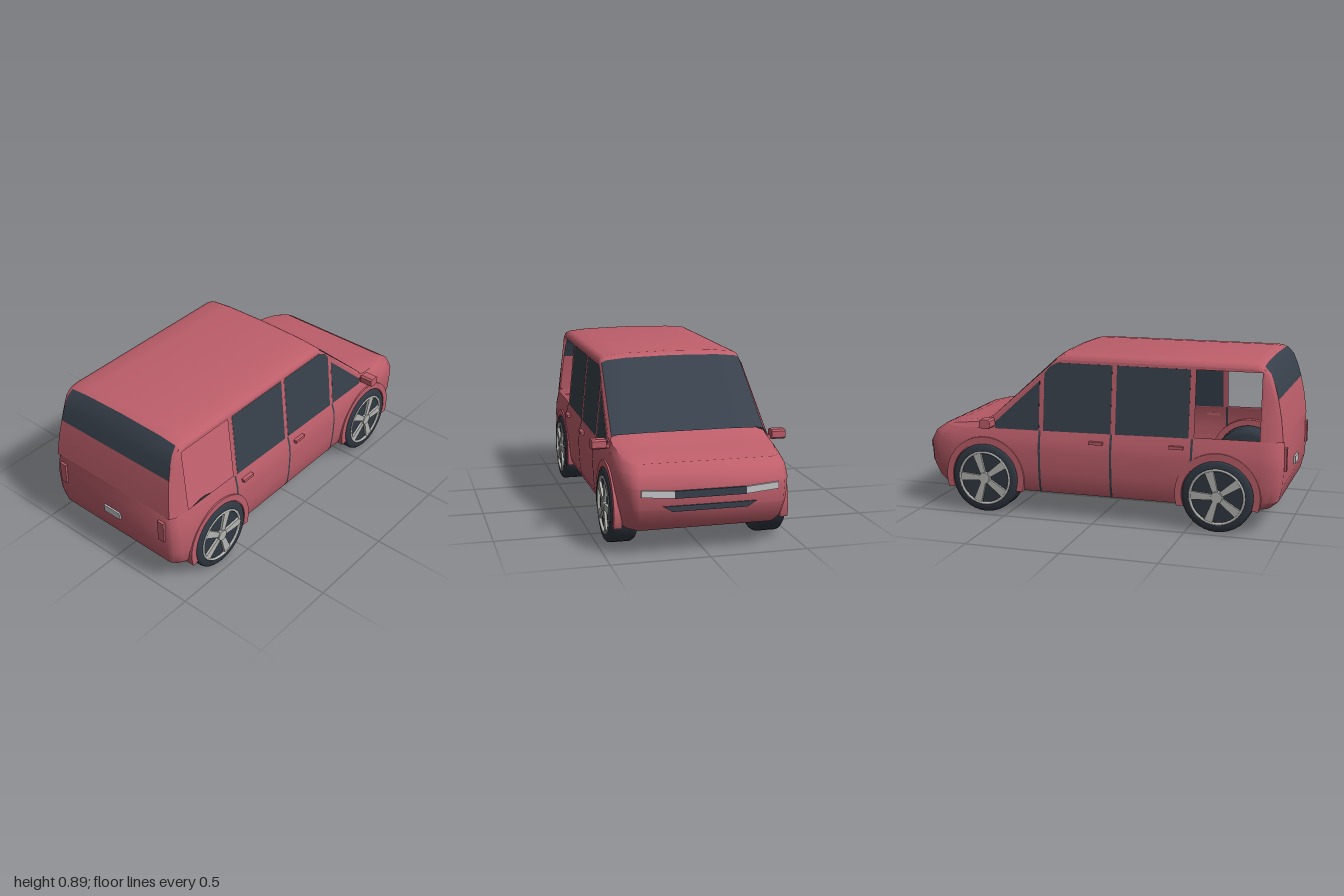
import * as THREE from 'three';
import { toCreasedNormals } from 'three/addons/utils/BufferGeometryUtils.js';

const mat = (name, color) => new THREE.MeshStandardMaterial({ name, color, side: THREE.DoubleSide });
const paint = mat('red paint', 0xbe5f6b);
const glass = mat('dark glass', 0x38414c);
const rubber = mat('tyre rubber', 0x303842);
const alloy = mat('alloy grey', 0xb4b4b2);
const lamp = mat('lamp white', 0xc6c8ca);

const lerp = THREE.MathUtils.lerp;
const beltY = x => 0.49 - 0.016 * (x + 1);
const cabinZ = y => 0.425 - 0.105 * (y - 0.47);

function add(parent, name, geometry, material) {
  const mesh = new THREE.Mesh(geometry, material);
  mesh.name = name;
  parent.add(mesh);
  return mesh;
}

// Skin through rows of [x, y, z] points
function loft(rows, crease = 0.6) {
  const n = rows[0].length, index = [];
  for (let i = 0; i < rows.length - 1; i++)
    for (let j = 0; j < n - 1; j++) {
      const a = i * n + j, b = a + n;
      index.push(a, b, a + 1, b, b + 1, a + 1);
    }
  const g = new THREE.BufferGeometry();
  g.setAttribute('position', new THREE.Float32BufferAttribute(rows.flat(2), 3));
  g.setIndex(index);
  return toCreasedNormals(g, crease);
}

// Half row (edge to centre line) completed by its mirror image
const mirrorRow = half => [...half, ...half.slice(0, -1).reverse().map(([x, y, z]) => [x, y, -z])];

const polygon = pts => new THREE.Shape(pts.map(p => new THREE.Vector2(...p)));

// Flat outline in x, y leaned onto the sloping cabin side
function sidePanel(pts, holes = [], offset = 0) {
  const shape = polygon(pts);
  shape.holes = holes.map(h => new THREE.Path(h.map(p => new THREE.Vector2(...p))));
  const g = new THREE.ShapeGeometry(shape);
  const p = g.attributes.position;
  for (let i = 0; i < p.count; i++) p.setZ(i, cabinZ(p.getY(i)) + offset);
  g.computeVertexNormals();
  return g;
}

// Height levels of the lower body: y, rear x, front x, half width
const levels = [
  [0.13, -0.92, 0.91, 0.415], [0.17, -0.965, 0.945, 0.432], [0.25, -0.985, 0.98, 0.441],
  [0.36, -0.99, 0.985, 0.445], [0.42, -0.988, 0.955, 0.44], [null, -0.985, 0.90, 0.425],
];

function planRing([y, xr, xf, w], spread = 1) {
  const half = [
    [xr, 0], [xr, 0.86], [xr + 0.012, 0.92], [xr + 0.045, 0.975], [xr + 0.11, 1], [-0.4, 1], [0, 1], [0.4, 1],
    [0.66, 1], [xf - 0.16, 0.985], [xf - 0.07, 0.94], [xf - 0.02, 0.87], [xf, 0.8], [xf, 0],
  ].map(([x, f]) => [x, y ?? beltY(x), f * w * spread]);
  return mirrorRow(half);
}

// Roof cross-section, from side edge to centre line
const roofHalf = (x, drop) => [
  [x, 0.85 - drop, cabinZ(0.85 - drop)], [x, 0.868 - drop, 0.378], [x, 0.878 - drop, 0.355],
  [x, 0.888 - drop, 0.25], [x, 0.893 - drop, 0],
];

function addBody(car) {
  add(car, 'lowerBody', loft([planRing(levels[0], 0), ...levels.map(l => planRing(l))]), paint);

  // Bonnet: x, crown height, half width
  const bonnet = [[0.56, 0.54, 0.425], [0.59, 0.535, 0.425], [0.64, 0.512, 0.425], [0.74, 0.495, 0.419],
    [0.83, 0.478, 0.4], [0.88, 0.463, 0.37], [0.9, 0.457, 0.34]];
  add(car, 'bonnet', loft(bonnet.map(([x, y, w]) => mirrorRow([
    [x, beltY(x), w], [x, lerp(beltY(x), y, 0.7), w * 0.96], [x, lerp(beltY(x), y, 0.93), w * 0.85],
    [x, y, w * 0.55], [x, y, 0]]))), paint);

  const roofRows = [[-0.875, 0.014], [-0.85, 0.004], [-0.82, 0], [0.19, 0], [0.215, 0.006], [0.235, 0.018]];
  add(car, 'roof', loft(roofRows.map(r => mirrorRow(roofHalf(...r))), 0.8), paint);

  // Windscreen between roof edge and bonnet, with painted pillars
  const top = roofHalf(0.235, 0.018);
  const base = [[0.6, 0.5, 0.42], [0.592, 0.53, 0.403], [0.59, 0.537, 0.37], [0.59, 0.539, 0.25], [0.59, 0.54, 0]];
  add(car, 'windscreen', loft([top, base].map(r => mirrorRow(r.slice(1)))), glass);

  // Tailgate below, rear window above
  const rearHalf = (y, xr) => {
    const z = cabinZ(y);
    return [[-0.88, y, z], [lerp(-0.88, xr, 0.7), y, z - 0.008], [xr, y, z - 0.025], [xr, y, 0.25], [xr, y, 0]];
  };
  const lower = [rearHalf(0.487, -0.985), rearHalf(0.6, -0.972), rearHalf(0.7, -0.952)];
  const upper = [lower[2], rearHalf(0.77, -0.932), rearHalf(0.83, -0.908), roofHalf(-0.875, 0.014)];
  add(car, 'tailgate', loft(lower.map(mirrorRow)), paint);
  add(car, 'rearWindow', loft(upper.map(r => mirrorRow(r.slice(2)))), glass);

  return { pillar: [top, base].map(r => r.slice(0, 2)), corner: upper.map(r => r.slice(0, 3)) };
}

function makeWheel() {
  const wheel = new THREE.Group();
  // Tyre with closed dark dish, axis turned to z
  const profile = [[0, -0.07], [0.16, -0.07], [0.18, -0.062], [0.19, -0.045], [0.19, 0.055], [0.1875, 0.066],
    [0.178, 0.074], [0.15, 0.075], [0.142, 0.064], [0, 0.064]].map(p => new THREE.Vector2(...p));
  const tyre = new THREE.LatheGeometry(profile, 36).rotateX(Math.PI / 2);
  add(wheel, 'tyre', toCreasedNormals(tyre, 0.7), rubber);
  add(wheel, 'rimRing', new THREE.TorusGeometry(0.143, 0.008, 6, 36), alloy).position.z = 0.072;
  const spoke = new THREE.ExtrudeGeometry(
    polygon([[0.015, -0.013], [0.14, -0.023], [0.14, 0.023], [0.015, 0.013]]), { depth: 0.014, bevelEnabled: false });
  for (let i = 0; i < 5; i++) {
    const s = add(wheel, 'spoke', spoke, alloy);
    s.rotation.z = i * Math.PI * 0.4;
    s.position.z = 0.063;
  }
  add(wheel, 'hub', new THREE.CylinderGeometry(0.03, 0.034, 0.02, 16).rotateX(Math.PI / 2), alloy).position.z = 0.072;
  return wheel;
}

function makeSide({ pillar, corner }) {
  const side = new THREE.Group();
  add(side, 'windscreenPillar', loft(pillar), paint);
  add(side, 'rearCorner', loft(corner), paint);

  // Cabin side with an open rear quarter and three glazed windows
  const opening = [[-0.87, 0.492], [-0.87, 0.835], [-0.53, 0.835], [-0.53, 0.488]];
  const windows = [
    [[-0.5, 0.482], [-0.5, 0.835], [-0.105, 0.835], [-0.105, 0.475]],
    [[-0.08, 0.475], [-0.08, 0.835], [0.225, 0.835], [0.265, 0.815], [0.297, 0.775], [0.297, 0.469]],
    [[0.322, 0.469], [0.322, 0.735], [0.575, 0.5], [0.575, 0.466]],
  ];
  const outline = [[-0.88, 0.485], [-0.88, 0.836], [-0.85, 0.846], [-0.82, 0.85], [0.19, 0.85], [0.215, 0.844],
    [0.235, 0.832], [0.6, 0.5], [0.6, 0.462]];
  add(side, 'cabinSide', sidePanel(outline, [opening, ...windows]), paint);
  windows.forEach(w => add(side, 'sideWindow', sidePanel(w, [], 0.001), glass));

  // Door seams follow the body contour on both faces of the panel
  for (const [x, bottom] of [[-0.52, 3], [-0.085, 0], [0.315, 0]])
    for (const gap of [0.003, -0.003])
      add(side, 'doorSeam', loft(levels.slice(bottom).map(([y, , , w]) =>
        [[x - 0.006, y ?? beltY(x), w + gap], [x + 0.006, y ?? beltY(x), w + gap]])), glass);

  for (const x of [-0.44, -0.005])
    add(side, 'doorHandle', new THREE.BoxGeometry(0.075, 0.016, 0.022), paint).position.set(x, beltY(x) - 0.048, 0.445);

  // Wheels and arch flares
  const arch = new THREE.Shape();
  arch.absarc(0, 0, 0.225, -0.3, Math.PI + 0.3, false);
  arch.absarc(0, 0, 0.19, Math.PI + 0.34, -0.34, true);
  const flare = new THREE.ExtrudeGeometry(arch, { depth: 0.04, bevelEnabled: false, curveSegments: 24 });
  for (const x of [-0.66, 0.63]) {
    add(side, 'archFlare', flare, paint).position.set(x, 0.193, 0.409);
    const wheel = makeWheel();
    wheel.name = x < 0 ? 'rearWheel' : 'frontWheel';
    wheel.position.set(x, 0.19, 0.381);
    side.add(wheel);
  }

  // Mirror on a short arm
  const housing = new THREE.ExtrudeGeometry(polygon([[-0.028, -0.015], [-0.02, -0.022], [0.02, -0.022],
    [0.028, -0.015], [0.028, 0.015], [0.02, 0.022], [-0.02, 0.022], [-0.028, 0.015]]),
  { depth: 0.066, bevelSize: 0.003, bevelThickness: 0.005, bevelSegments: 2 });
  add(side, 'mirrorHousing', housing, paint).position.set(0.6, 0.502, 0.441);
  add(side, 'mirrorArm', new THREE.BoxGeometry(0.03, 0.02, 0.06), paint).position.set(0.595, 0.488, 0.422);

  // Lamps
  add(side, 'headlight', endPlate([[0.18, 0.305], [0.345, 0.32], [0.345, 0.354], [0.18, 0.34]]), lamp).position.x = 0.983;
  add(side, 'rearLight', new THREE.BoxGeometry(0.02, 0.12, 0.04), paint).position.set(-0.99, 0.39, 0.35);
  return side;
}

// Plate facing along x from an outline in z, y
const endPlate = pts => new THREE.ExtrudeGeometry(polygon(pts.map(([z, y]) => [-z, y])),
  { depth: 0.012, bevelEnabled: false }).rotateY(Math.PI / 2);

export function createModel() {
  const car = new THREE.Group();
  car.name = 'car';
  const edges = addBody(car);
  for (const s of [1, -1]) {
    const side = makeSide(edges);
    side.name = s > 0 ? 'nearSide' : 'farSide';
    side.scale.z = s;
    car.add(side);
  }
  add(car, 'grille', endPlate([[-0.18, 0.304], [0.18, 0.304], [0.18, 0.341], [-0.18, 0.341]]), glass).position.x = 0.984;
  add(car, 'lowerVent', endPlate([[-0.19, 0.237], [0.19, 0.237], [0.235, 0.265], [-0.235, 0.265]]), glass).position.x = 0.975;
  add(car, 'rearPlate', new THREE.BoxGeometry(0.02, 0.04, 0.11), lamp).position.set(-0.988, 0.315, 0);
  return car;
}
